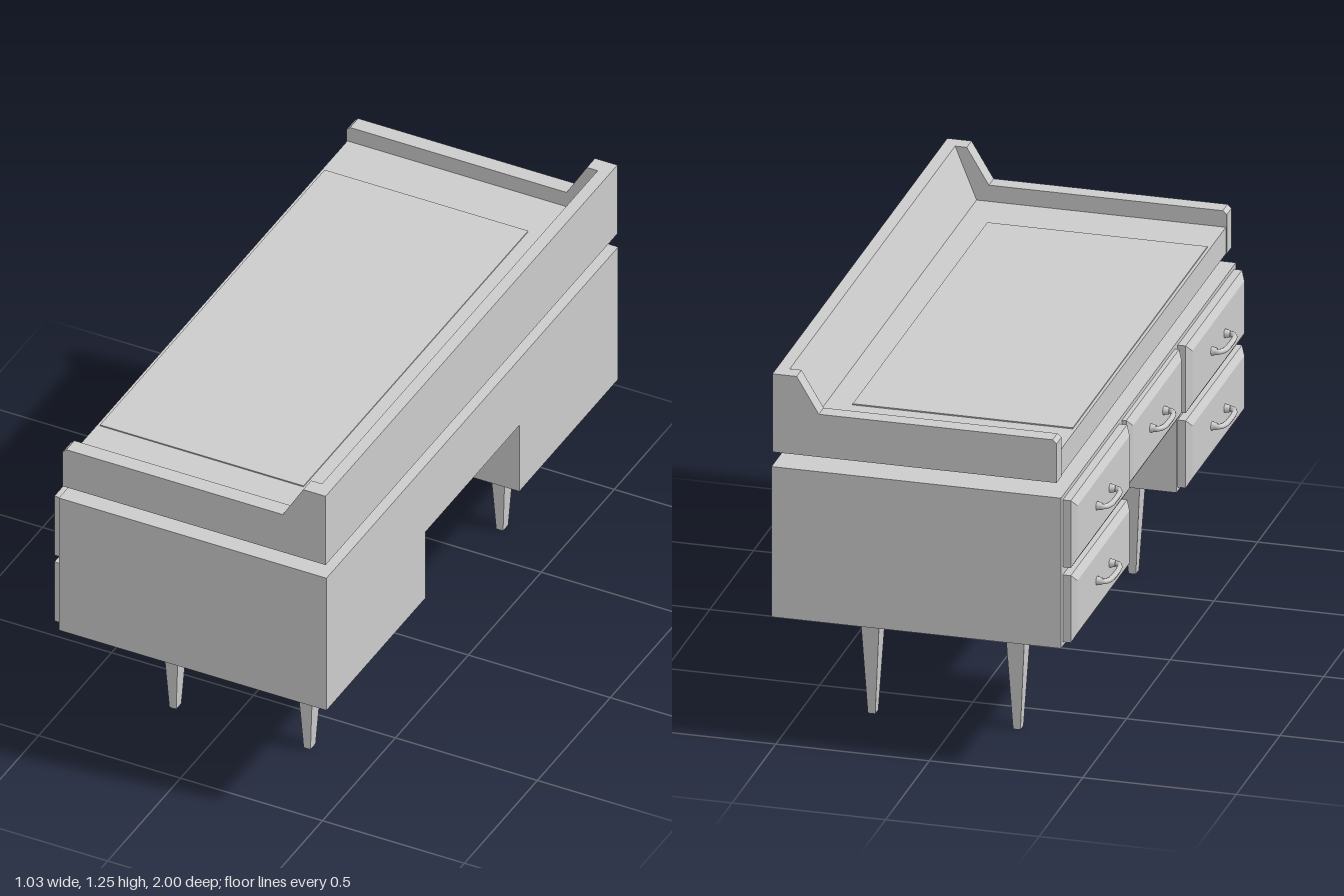
import * as THREE from 'three';

const material = new THREE.MeshStandardMaterial({ color: 0xcccccc });

function add(parent, name, geometry, x = 0, y = 0, z = 0) {
  const mesh = new THREE.Mesh(geometry, material);
  mesh.name = name;
  mesh.position.set(x, y, z);
  parent.add(mesh);
  return mesh;
}

// Box given by its lower and upper corners
function block(parent, name, x0, x1, y0, y1, z0, z1) {
  return add(parent, name, new THREE.BoxGeometry(x1 - x0, y1 - y0, z1 - z0),
    (x0 + x1) / 2, (y0 + y1) / 2, (z0 + z1) / 2);
}

function prism(points, depth) {
  const shape = new THREE.Shape(points.map(([x, y]) => new THREE.Vector2(x, y)));
  return new THREE.ExtrudeGeometry(shape, { depth, bevelEnabled: false });
}

// Box whose face on the negative side of one axis shrinks by the given factors
function taperedBox(size, axis, scale) {
  const geometry = new THREE.BoxGeometry(...size);
  const p = geometry.attributes.position;
  for (let i = 0; i < p.count; i++) {
    if (p.getComponent(i, axis) > 0) continue;
    for (let a = 0; a < 3; a++) {
      if (a !== axis) p.setComponent(i, a, p.getComponent(i, a) * scale[a]);
    }
  }
  geometry.computeVertexNormals();
  return geometry;
}

// Curved pull with two round bosses, bulging towards -x
function makeHandle(x, y, z) {
  const handle = new THREE.Group();
  handle.name = 'handle';
  const path = new THREE.CatmullRomCurve3([
    [0.005, -0.075], [-0.02, -0.078], [-0.035, -0.06], [-0.041, 0],
    [-0.035, 0.06], [-0.02, 0.078], [0.005, 0.075],
  ].map(([px, pz]) => new THREE.Vector3(px, 0, pz)));
  add(handle, 'pull', new THREE.TubeGeometry(path, 28, 0.009, 8));
  for (const side of [-1, 1]) {
    const boss = new THREE.CylinderGeometry(0.015, 0.011, 0.02, 12).rotateZ(-Math.PI / 2);
    add(handle, 'boss', boss, -0.008, 0, side * 0.075);
  }
  handle.position.set(x, y, z);
  return handle;
}

// Drawer front: flat plate, bevelled face and handle
function makeDrawer(z, y, width, depth) {
  const drawer = new THREE.Group();
  drawer.name = 'drawer';
  const height = 0.228, bevel = 0.015, inset = 0.025;
  const face = -0.43 - depth;
  block(drawer, 'drawerPlate', face + bevel, -0.428, y - height / 2, y + height / 2,
    z - width / 2, z + width / 2);
  add(drawer, 'drawerFace', taperedBox([bevel, height, width], 0,
    [1, 1 - 2 * inset / height, 1 - 2 * inset / width]), face + bevel / 2, y, z);
  drawer.add(makeHandle(face, y, z));
  return drawer;
}

export function createModel() {
  const desk = new THREE.Group();
  desk.name = 'desk';

  // Carcass with open knee hole
  const body = prism([
    [-1, 0.43], [-0.322, 0.43], [-0.322, 0.685], [0.322, 0.685],
    [0.322, 0.43], [1, 0.43], [1, 0.94], [-1, 0.94],
  ], 0.943).rotateY(-Math.PI / 2);
  add(desk, 'body', body, 0.514, 0, 0);

  // Tapered legs
  for (const x of [-0.193, 0.28]) {
    for (const z of [-0.66, 0.66]) {
      add(desk, 'leg', taperedBox([0.073, 0.43, 0.084], 1, [0.33, 1, 0.42]), x, 0.215, z);
    }
  }

  // Drawers
  for (const side of [-1, 1]) {
    for (const y of [0.558, 0.812]) desk.add(makeDrawer(side * 0.657, y, 0.645, 0.04));
  }
  desk.add(makeDrawer(0, 0.812, 0.605, 0.028));

  // Raised top: spacer, slab, writing panel, side rails and sloped back rail
  block(desk, 'spacer', -0.325, -0.27, 0.94, 0.99, 0.705, 0.755);
  block(desk, 'desktop', -0.412, 0.45, 0.99, 1.08, -0.945, 0.945);
  block(desk, 'writingPanel', -0.402, 0.315, 1.07, 1.084, -0.77, 0.77);
  const rail = prism([
    [-0.415, 0.99], [0.511, 0.99], [0.511, 1.255], [0.432, 1.255],
    [0.36, 1.135], [-0.402, 1.135], [-0.415, 1.123],
  ], 0.055);
  add(desk, 'sideRail', rail, 0, 0, -1);
  add(desk, 'sideRail', rail, 0, 0, 0.945);
  add(desk, 'backRail', prism([
    [0.4, 0.99], [0.511, 0.99], [0.511, 1.255], [0.47, 1.255], [0.4, 1.08],
  ], 1.89), 0, 0, -0.945);

  return desk;
}
